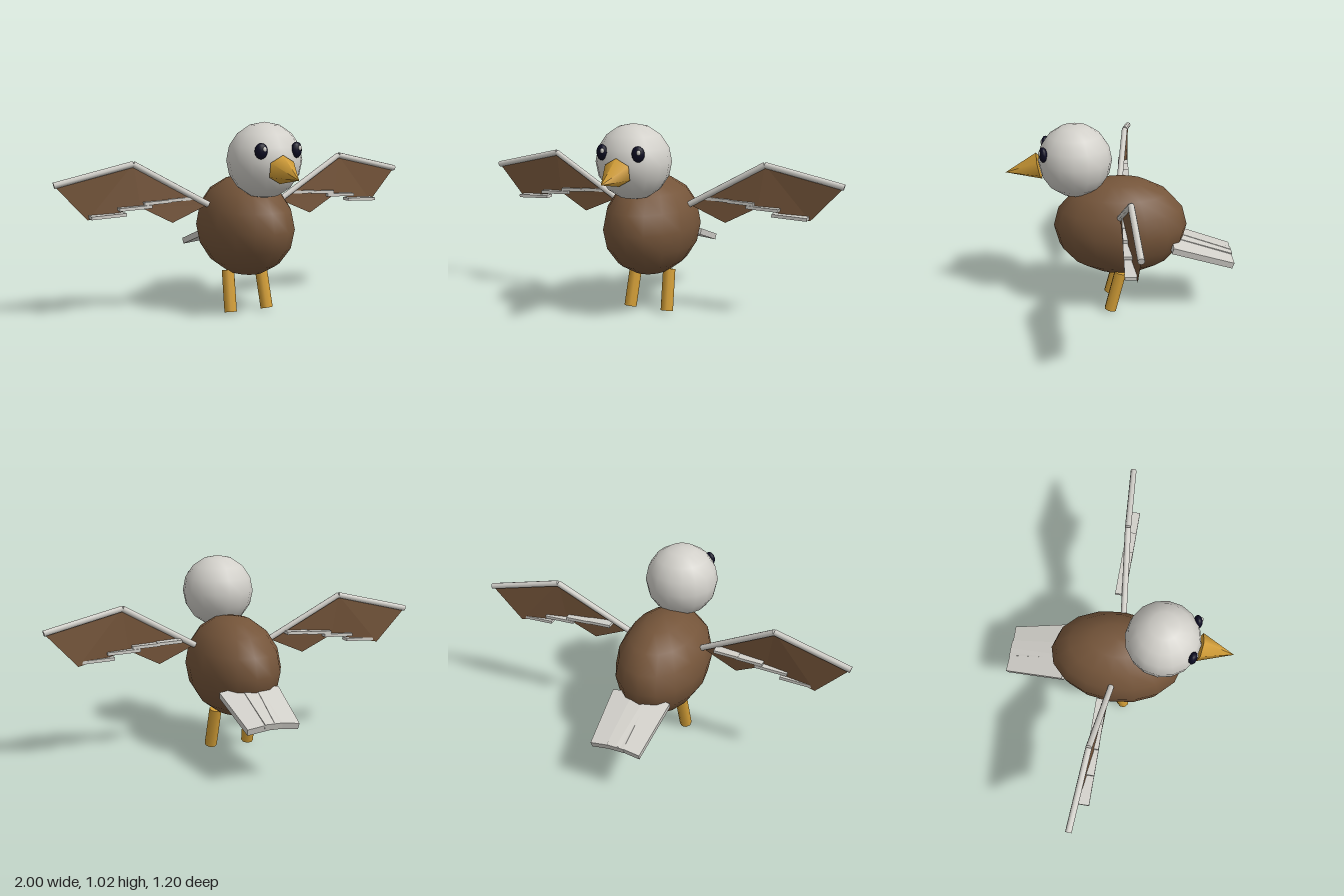
import * as THREE from 'three';

const mat = (name, color, side = THREE.FrontSide) => {
  const m = new THREE.MeshStandardMaterial({ color, side });
  m.name = name;
  return m;
};

export function createModel() {
  const model = new THREE.Group();
  model.name = 'bird';
  const brown = mat('brown plumage', 0x75553a);
  brown.side = THREE.DoubleSide;
  const white = mat('white plumage', 0xd2d0ca);
  const gold = mat('golden beak and legs', 0xd09c36);
  const dark = mat('dark eye', 0x0c0b22);

  const add = (name, geometry, material, parent = model) => {
    const mesh = new THREE.Mesh(geometry, material);
    mesh.name = name;
    parent.add(mesh);
    return mesh;
  };
  const ball = (name, material, pos, radii, w = 16, h = 8, parent = model) => {
    const m = add(name, new THREE.SphereGeometry(1, w, h), material, parent);
    m.position.set(...pos);
    m.scale.set(...radii);
    return m;
  };
  // Cylinder or cone running from point a to point b
  const rod = (name, material, a, b, ra, rb, sides, parent = model) => {
    const from = new THREE.Vector3(...a), to = new THREE.Vector3(...b);
    const dir = to.clone().sub(from);
    const m = add(name, new THREE.CylinderGeometry(rb, ra, dir.length(), sides), material, parent);
    m.position.copy(from).add(to).multiplyScalar(0.5);
    m.quaternion.setFromUnitVectors(new THREE.Vector3(0, 1, 0), dir.normalize());
    return m;
  };
  // Thin four-cornered panel
  const panel = (name, material, corners, parent) => {
    const g = new THREE.BufferGeometry();
    g.setAttribute('position', new THREE.Float32BufferAttribute(corners.flat(), 3));
    g.setIndex([0, 1, 2, 0, 2, 3]);
    const flat = g.toNonIndexed();
    flat.computeVertexNormals();
    return add(name, flat, material, parent);
  };

  // Body and head
  ball('body', brown, [0, 0.463, 0], [0.24, 0.266, 0.355]);
  ball('head', white, [0, 0.828, 0.235], [0.192, 0.192, 0.192]);

  // Hexagonal beak, slightly drooping
  rod('beak', gold, [0, 0.797, 0.422], [0, 0.762, 0.598], 0.073, 0, 6);

  for (const s of [-1, 1]) {
    const side = s > 0 ? 'left' : 'right';

    // Eye with a small glint
    const eye = ball(side + 'Eye', dark, [s * 0.097, 0.888, 0.393], [0.032, 0.04, 0.021], 12, 8);
    eye.rotation.y = s * 0.3;
    ball(side + 'EyeGlint', white, [s * 0.097 + 0.01, 0.897, 0.41], [0.011, 0.013, 0.008], 8, 6);

    // Leg
    rod(side + 'Leg', gold, [s * 0.097, 0.225, 0.002], [s * 0.107, 0.009, 0.057], 0.033, 0.033, 8);

    // Wing: two bones, two membrane panels and a row of trailing feathers
    const wing = new THREE.Group();
    wing.name = side + 'Wing';
    model.add(wing);
    const shoulder = [s * 0.21, 0.585, 0.005], elbow = [s * 0.6, 0.808, -0.037];
    const tip = [s * 0.998, 0.716, -0.068], inner = [s * 0.57, 0.588, -0.025];
    rod('innerWingBone', white, shoulder, elbow, 0.016, 0.016, 8, wing);
    rod('outerWingBone', white, elbow, tip, 0.016, 0.016, 8, wing);
    panel('innerWingPanel', brown, [shoulder, [s * 0.405, 0.5, -0.006], inner, elbow], wing);
    panel('outerWingPanel', brown, [elbow, inner, [s * 0.835, 0.535, -0.06], tip], wing);
    [[0.74, 0.555, 0.18], [0.6, 0.588, 0.17], [0.485, 0.61, 0.14], [0.36, 0.618, 0.13]]
      .forEach(([x, y, length], i) => {
        const f = add('wingFeather' + (i + 1), new THREE.BoxGeometry(length, 0.016, 0.055), white, wing);
        f.position.set(s * x, y, i === 0 ? -0.03 : -0.028);
        f.rotation.z = s * -0.04;
      });
  }

  // Tail: three overlapping slabs narrowing and sloping down to the back
  const tail = new THREE.Group();
  tail.name = 'tail';
  tail.position.set(0.012, 0.337, -0.43);
  tail.rotation.x = -0.3;
  model.add(tail);
  for (const [name, x, y, turn, roll, width] of [
    ['leftTailFeather', 0.082, 0, 0.08, -0.1, 0.13],
    ['middleTailFeather', 0, 0.008, 0, 0, 0.09],
    ['rightTailFeather', -0.08, 0.004, -0.08, 0.1, 0.13],
  ]) {
    const f = add(name, new THREE.BoxGeometry(width, 0.034, 0.34), white, tail);
    f.position.set(x, y, 0);
    f.rotation.set(0, turn, roll);
  }
  return model;
}
